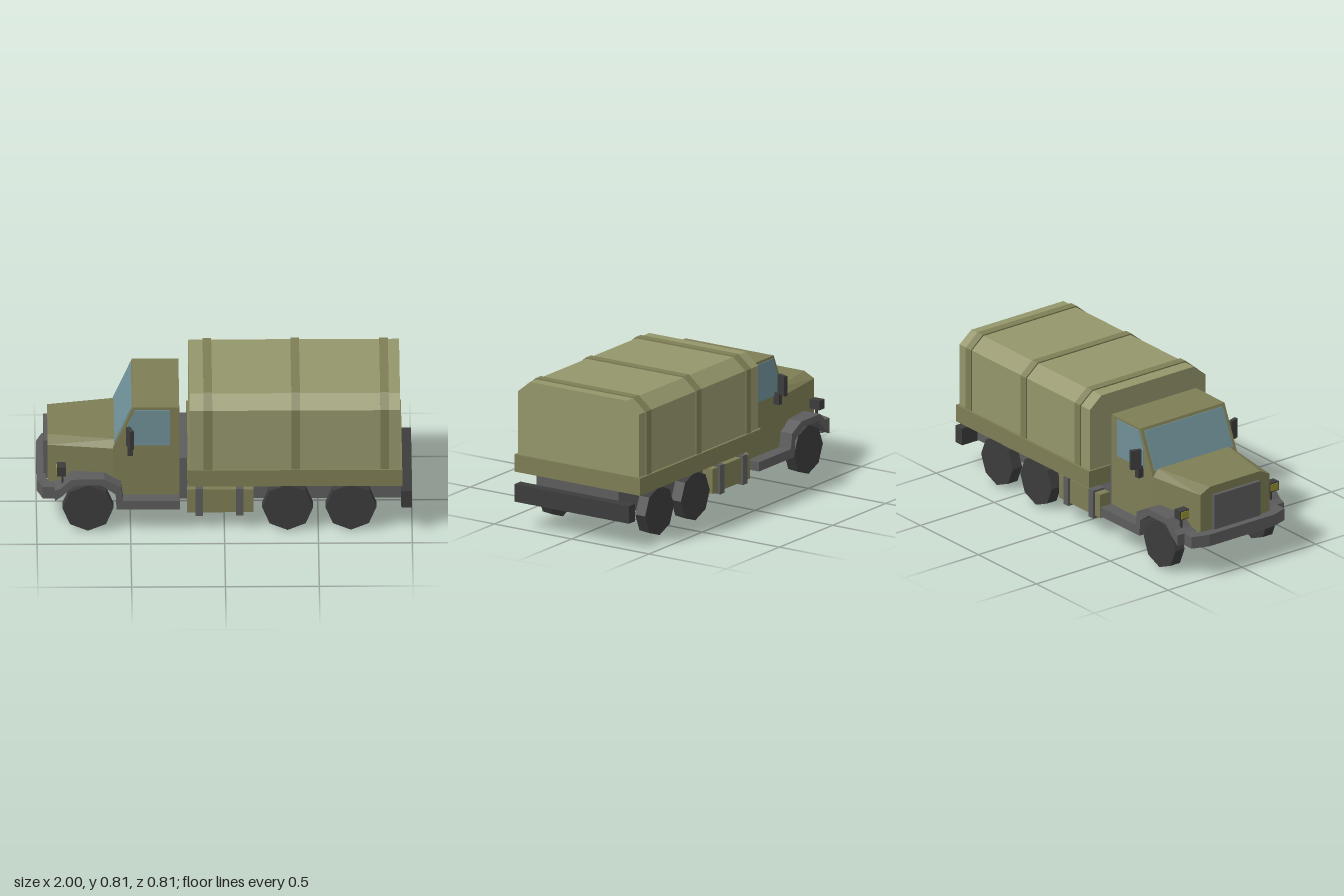
import * as THREE from 'three';
import { ConvexGeometry } from 'three/addons/geometries/ConvexGeometry.js';

const paint = (color) => new THREE.MeshStandardMaterial({ color, flatShading: true });
const olive = paint(0x7d7d55), canvas = paint(0x94966b), grey = paint(0x5c5c5c);
const dark = paint(0x3c3c3c), glass = paint(0x6f9097), amber = paint(0x9a9230);

export function createModel() {
  const truck = new THREE.Group();

  const add = (name, geometry, material) => {
    const mesh = new THREE.Mesh(geometry, material);
    mesh.name = name;
    truck.add(mesh);
    return mesh;
  };
  // Box given by its limits on each axis
  const box = (name, material, x0, x1, y0, y1, z0, z1) => {
    const g = new THREE.BoxGeometry(x1 - x0, y1 - y0, Math.abs(z1 - z0));
    return add(name, g.translate((x0 + x1) / 2, (y0 + y1) / 2, (z0 + z1) / 2), material);
  };
  const extrude = (points, depth) => new THREE.ExtrudeGeometry(
    new THREE.Shape(points.map(([a, b]) => new THREE.Vector2(a, b))), { depth, bevelEnabled: false });
  // Side profile (x, y) between two z values
  const sideProfile = (points, z0, z1) => extrude(points, z1 - z0).translate(0, 0, z0);
  // Cross-section (z, y) between two x values
  const crossProfile = (points, x0, x1) =>
    extrude(points, x1 - x0).rotateY(Math.PI / 2).translate(x0, 0, 0);
  // Plan outline (x, z) between two heights
  const plan = (points, y0, y1) =>
    extrude(points, y1 - y0).rotateX(Math.PI / 2).translate(0, y1, 0);

  // Chassis, cross wall behind the cab, cab floor and rear bumper
  box('chassis', grey, -0.24, 0.945, 0.15, 0.296, -0.265, 0.265);
  box('crossWall', grey, -0.245, -0.195, 0.15, 0.392, -0.265, 0.265);
  box('cabFloor', grey, -0.575, -0.238, 0.134, 0.185, -0.36, 0.36);
  box('rearBumper', dark, 0.942, 1, 0.146, 0.243, -0.37, 0.37);

  // Cargo bed with canvas cover and hoops
  box('cargoBed', olive, -0.198, 0.947, 0.294, 0.39, -0.406, 0.406);
  const hoop = (grow) => [
    [-0.391 - grow, 0.38], [0.391 + grow, 0.38], [0.391 + grow, 0.74 + grow / 2],
    [0.313 + grow / 2, 0.804 + grow], [-0.313 - grow / 2, 0.804 + grow], [-0.391 - grow, 0.74 + grow / 2],
  ];
  add('canvasCover', crossProfile(hoop(0), -0.187, 0.936), canvas);
  for (const x of [-0.088, 0.38, 0.853]) {
    add('coverHoop', crossProfile(hoop(0.007), x - 0.023, x + 0.023), olive);
  }

  // Cab
  add('cab', sideProfile([
    [-0.24, 0.17], [-0.24, 0.706], [-0.487, 0.706], [-0.594, 0.462],
    [-0.594, 0.28], [-0.565, 0.25], [-0.565, 0.17],
  ], -0.285, 0.285), olive);
  add('windshield', sideProfile([
    [-0.588, 0.489], [-0.499, 0.692], [-0.485, 0.69], [-0.575, 0.485],
  ], -0.265, 0.265), glass);

  // Engine bay narrowing towards the front, with the wheel arch cut out
  const bay = sideProfile([
    [-0.941, 0.46], [-0.941, 0.2], [-0.93, 0.18], [-0.875, 0.18], [-0.845, 0.225],
    [-0.8, 0.28], [-0.645, 0.28], [-0.59, 0.262], [-0.59, 0.46],
  ], -1, 1);
  const p = bay.attributes.position;
  for (let i = 0; i < p.count; i++) {
    const t = (p.getX(i) + 0.941) / 0.351;
    p.setZ(i, p.getZ(i) * (0.235 + 0.048 * t));
  }
  add('engineBay', bay, olive);

  // Crowned hood and grille
  const crown = [];
  for (const s of [-1, 1]) {
    crown.push(new THREE.Vector3(-0.941, 0.46, 0.235 * s), new THREE.Vector3(-0.59, 0.46, 0.283 * s),
      new THREE.Vector3(-0.941, 0.492, 0.17 * s), new THREE.Vector3(-0.575, 0.495, 0.24 * s));
  }
  add('hood', new ConvexGeometry(crown), olive);
  box('grille', grey, -0.962, -0.935, 0.22, 0.445, -0.155, 0.155);

  // Front bumper wrapping back to the fenders
  add('frontBumper', plan([
    [-1, -0.22], [-1, 0.22], [-0.968, 0.315], [-0.895, 0.315], [-0.895, 0.25],
    [-0.935, 0.25], [-0.95, 0.2], [-0.95, -0.2], [-0.935, -0.25],
    [-0.895, -0.25], [-0.895, -0.315], [-0.968, -0.315],
  ], 0.18, 0.247), grey);

  // Fender strip running from the bumper over the wheel to the running board
  const fender = [
    [-0.904, 0.247], [-0.87, 0.262], [-0.815, 0.314], [-0.64, 0.314], [-0.552, 0.268],
    [-0.54, 0.185], [-0.24, 0.185], [-0.24, 0.135], [-0.575, 0.135], [-0.58, 0.225],
    [-0.655, 0.278], [-0.8, 0.278], [-0.862, 0.217], [-0.904, 0.185],
  ];

  for (const s of [-1, 1]) {
    const span = (a, b) => (s > 0 ? [a, b] : [-b, -a]);
    add('fender', sideProfile(fender, ...span(0.22, 0.36)), grey);

    // Side window
    add('sideWindow', sideProfile([
      [-0.52, 0.482], [-0.29, 0.482], [-0.29, 0.692], [-0.477, 0.692], [-0.522, 0.59],
    ].map(([x, y], i) => (i === 4 ? [-0.522 + 0.002, 0.592] : [x, y])), ...span(0.27, 0.289)), glass);

    // Octagonal wheels
    for (const x of [-0.727, 0.337, 0.674]) {
      const wheel = new THREE.CylinderGeometry(0.136, 0.136, 0.064, 8).rotateX(Math.PI / 2);
      add('wheel', wheel.translate(x, 0.136, 0.3125 * s), dark);
    }

    // Fuel tank with straps
    box('fuelTank', olive, -0.198, 0.155, 0.1, 0.236, ...span(0.18, 0.33));
    for (const x of [-0.134, 0.081]) {
      box('tankStrap', grey, x - 0.02, x + 0.02, 0.086, 0.247, ...span(0.165, 0.343));
    }

    // Mirror on its arm
    const mirror = add('mirror', new THREE.BoxGeometry(0.022, 0.11, 0.06), dark);
    mirror.position.set(-0.503, 0.545, 0.33 * s);
    mirror.rotation.y = 0.35 * s;
    box('mirrorArm', dark, -0.515, -0.487, 0.435, 0.5, ...span(0.28, 0.32));

    // Fender lamp on a stalk
    box('lampHousing', dark, -0.892, -0.845, 0.322, 0.374, ...span(0.272, 0.335));
    box('lampLens', amber, -0.896, -0.89, 0.328, 0.368, ...span(0.278, 0.329));
    box('lampStalk', dark, -0.867, -0.856, 0.255, 0.325, ...span(0.298, 0.309));
  }
  return truck;
}
